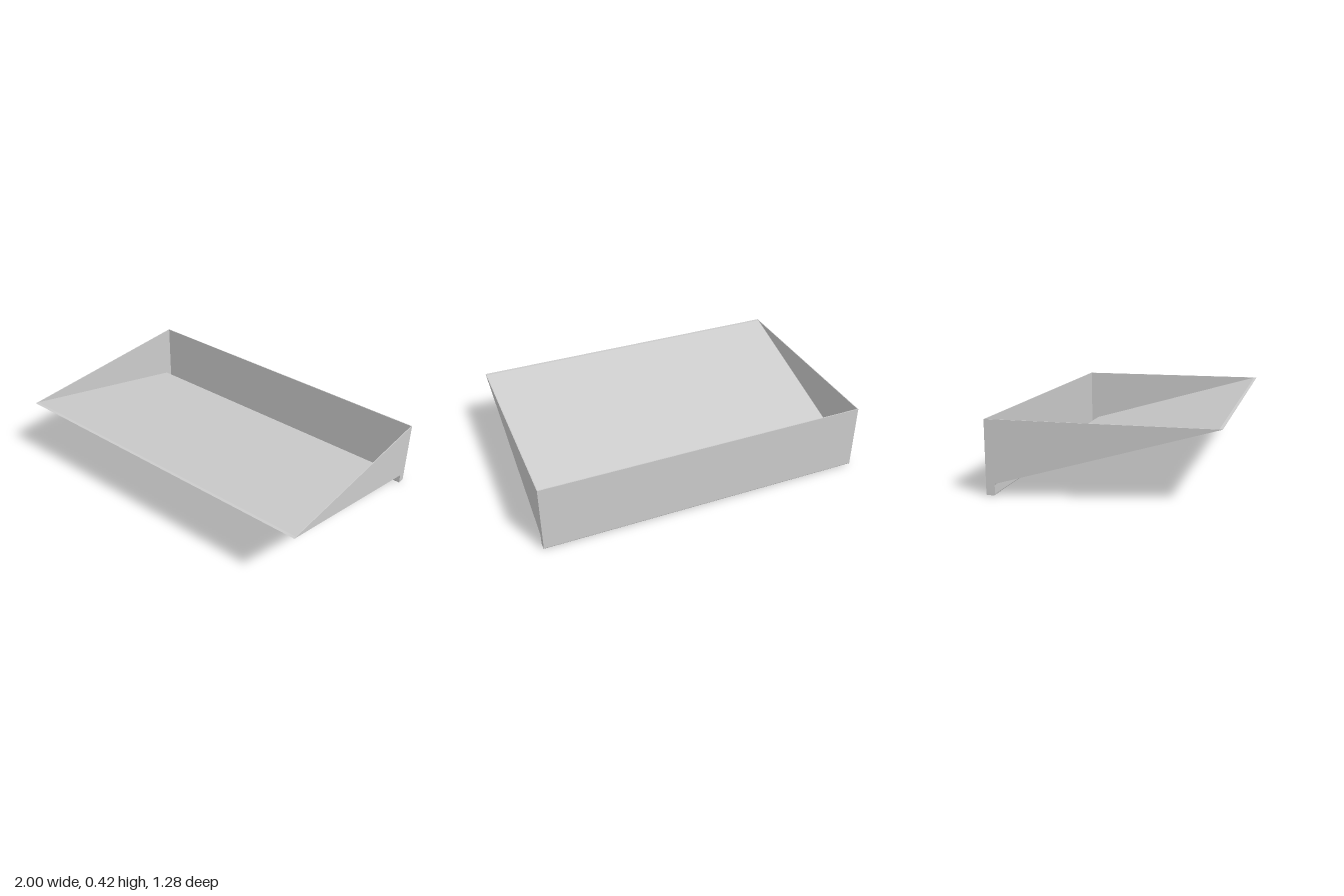
import * as THREE from 'three';

const W = 2, T = 0.005, H = 0.42;

// Outer side outline: sloping floor, rounded lip, gutter, back wall (shape x = -z)
function outerOutline() {
  const s = new THREE.Shape();
  s.moveTo(-0.64, H);
  s.lineTo(0.582, 0.067);
  s.quadraticCurveTo(0.59, 0.065, 0.59, 0.057);
  s.lineTo(0.59, 0.01);
  s.quadraticCurveTo(0.59, 0, 0.6, 0);
  s.lineTo(0.63, 0);
  s.quadraticCurveTo(0.64, 0, 0.64, 0.01);
  s.lineTo(0.64, H);
  return s;
}

// The same outline turned into a thin sheet by returning along the inside
function sheetOutline() {
  const s = outerOutline();
  s.lineTo(0.64 - T, H);
  s.lineTo(0.64 - T, 0.012);
  s.quadraticCurveTo(0.64 - T, T, 0.628, T);
  s.lineTo(0.602, T);
  s.quadraticCurveTo(0.59 + T, T, 0.59 + T, 0.012);
  s.lineTo(0.59 + T, 0.06);
  s.quadraticCurveTo(0.59 + T, 0.068, 0.585, 0.0715);
  s.lineTo(-0.622, H);
  return s;
}

// Extrude a side outline along x, starting at x0
function extrudeAcross(shape, x0, width) {
  const g = new THREE.ExtrudeGeometry(shape, { depth: width, bevelEnabled: false, curveSegments: 6 });
  g.rotateY(Math.PI / 2);
  g.translate(x0, 0, 0);
  return g;
}

export function createModel() {
  const group = new THREE.Group();
  const material = new THREE.MeshStandardMaterial({ color: 0xcccccc });
  const add = (name, geometry) => {
    const mesh = new THREE.Mesh(geometry, material);
    mesh.name = name;
    group.add(mesh);
  };

  // Floor, gutter and back wall in one folded sheet
  add('foldedSheet', extrudeAcross(sheetOutline(), -W / 2 + T, W - 2 * T));

  // Closed end walls
  add('rightEndWall', extrudeAcross(outerOutline(), -W / 2, T));
  add('leftEndWall', extrudeAcross(outerOutline(), W / 2 - T, T));

  // Flat six-sided pad on the gutter floor
  const pad = new THREE.Shape([
    [-0.11, 0.62], [-0.1, 0.607], [0.1, 0.607], [0.105, 0.62], [0.1, 0.632], [-0.1, 0.632],
  ].map(([x, y]) => new THREE.Vector2(x, y)));
  const padGeometry = new THREE.ExtrudeGeometry(pad, { depth: 0.002, bevelEnabled: false });
  padGeometry.rotateX(-Math.PI / 2);
  padGeometry.translate(0, T, 0);
  add('gutterPad', padGeometry);

  return group;
}
